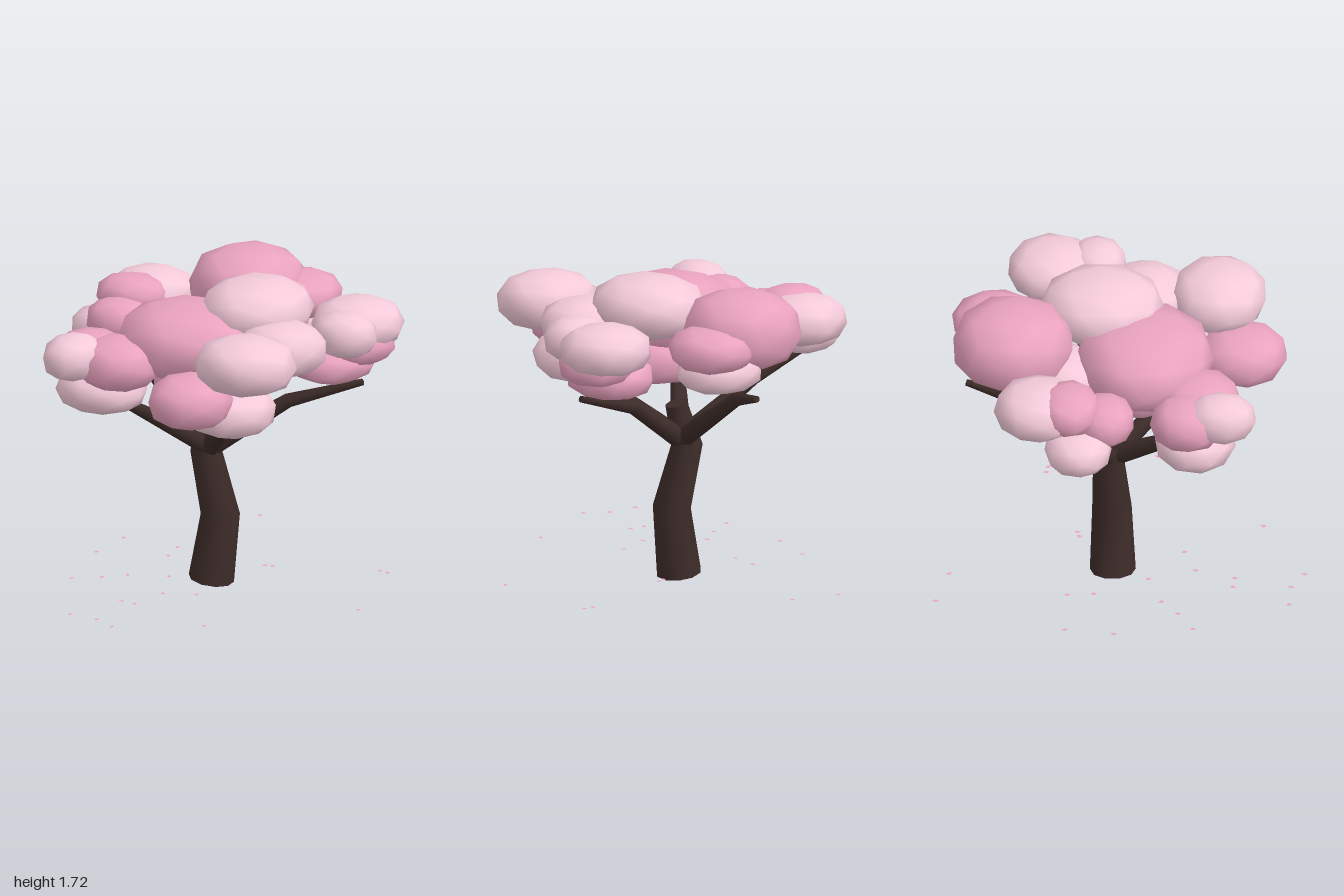
import * as THREE from 'three';
import { mergeVertices } from 'three/addons/utils/BufferGeometryUtils.js';

const bark = new THREE.MeshStandardMaterial({ color: 0x3d2c29 });
const pink = new THREE.MeshStandardMaterial({ color: 0xeaa3bf });
const pale = new THREE.MeshStandardMaterial({ color: 0xf5cbda });
const petalPink = new THREE.MeshStandardMaterial({ color: 0xeaa3bf, side: THREE.DoubleSide });

// Tapering limb: rings [x, y, z, radius] set square to the path, closed at both ends
function limb(name, stations, sides) {
  const pts = stations.map(([x, y, z]) => new THREE.Vector3(x, y, z));
  const pos = [], index = [];
  const last = pts.length - 1;
  const ring = (i) => {
    const dir = pts[Math.min(i + 1, last)].clone().sub(pts[Math.max(i - 1, 0)]).normalize();
    const q = new THREE.Quaternion().setFromUnitVectors(new THREE.Vector3(0, 1, 0), dir);
    for (let s = 0; s < sides; s++) {
      const a = (s / sides) * Math.PI * 2;
      const v = new THREE.Vector3(Math.sin(a), 0, Math.cos(a)).multiplyScalar(stations[i][3]);
      pos.push(...v.applyQuaternion(q).add(pts[i]).toArray());
    }
  };
  pts.forEach((_, i) => ring(i));
  for (let i = 0; i < last; i++) {
    for (let s = 0; s < sides; s++) {
      const a = i * sides + s, b = i * sides + (s + 1) % sides;
      index.push(a, b, b + sides, a, b + sides, a + sides);
    }
  }
  // End caps on their own vertices, so their edges stay sharp
  for (const [i, top] of [[0, false], [last, true]]) {
    const start = pos.length / 3;
    ring(i);
    for (let s = 1; s < sides - 1; s++) {
      if (top) index.push(start, start + s, start + s + 1);
      else index.push(start, start + s + 1, start + s);
    }
  }
  const geo = new THREE.BufferGeometry();
  geo.setAttribute('position', new THREE.Float32BufferAttribute(pos, 3));
  geo.setIndex(index);
  geo.computeVertexNormals();
  const mesh = new THREE.Mesh(geo, bark);
  mesh.name = name;
  return mesh;
}

// Flattened blossom clumps: x, y, z, then the three radii
const pinkClumps = [
  [-0.09, 1.42, 0.13, 0.41, 0.20, 0.37], // middle
  [0.02, 1.23, 0.08, 0.33, 0.15, 0.33],
  [-0.08, 1.50, -0.57, 0.32, 0.21, 0.33], // back
  [0.18, 1.46, -0.66, 0.23, 0.12, 0.24],
  [0.56, 1.28, -0.26, 0.23, 0.11, 0.26], // left side
  [0.68, 1.38, -0.31, 0.21, 0.11, 0.21],
  [-0.62, 1.46, -0.27, 0.20, 0.11, 0.17], // right side
  [-0.61, 1.38, -0.08, 0.18, 0.12, 0.16],
  [-0.57, 1.34, 0.36, 0.20, 0.13, 0.20], // front right
  [-0.38, 1.34, 0.42, 0.23, 0.14, 0.23],
  [0.15, 1.28, 0.65, 0.23, 0.14, 0.24], // front
];
const paleClumps = [
  [0.19, 1.56, -0.10, 0.30, 0.16, 0.33], // crown
  [0.44, 1.45, 0.13, 0.25, 0.14, 0.24],
  [0.41, 1.48, 0.52, 0.28, 0.15, 0.26], // front
  [0.28, 1.17, 0.42, 0.24, 0.13, 0.25],
  [0.66, 1.47, -0.36, 0.25, 0.13, 0.25], // left side
  [0.69, 1.48, -0.13, 0.18, 0.12, 0.16],
  [0.13, 1.33, -0.66, 0.24, 0.11, 0.22], // back
  [-0.15, 1.34, -0.30, 0.23, 0.13, 0.22],
  [-0.58, 1.43, -0.43, 0.24, 0.13, 0.24], // right side
  [-0.74, 1.28, -0.22, 0.20, 0.11, 0.18],
  [-0.59, 1.38, 0.54, 0.16, 0.12, 0.19], // front right
  [-0.49, 1.17, 0.40, 0.25, 0.12, 0.22],
];

// Low-poly ball with fuller shoulders than a true ellipsoid
function clumpGeometry(turn, rx, ry, rz) {
  const ball = new THREE.IcosahedronGeometry(1, 1);
  ball.deleteAttribute('normal').deleteAttribute('uv');
  const geo = mergeVertices(ball, 1e-3);
  geo.rotateX(0.3 * Math.sin(turn * 2.3)).rotateY(turn * 1.7);
  const p = geo.attributes.position;
  for (let i = 0; i < p.count; i++) {
    const y = p.getY(i);
    p.setY(i, Math.sign(y) * Math.abs(y) ** 0.75);
  }
  geo.scale(rx, ry, rz);
  geo.computeVertexNormals();
  return geo;
}

function clumps(name, list, material) {
  const group = new THREE.Group();
  group.name = name;
  list.forEach(([x, y, z, ...radii], i) => {
    const mesh = new THREE.Mesh(clumpGeometry(i, ...radii), material);
    mesh.name = 'blossomClump';
    mesh.position.set(x, y, z);
    group.add(mesh);
  });
  return group;
}

// Fallen petals, as [x, z] on the ground
const petalSpots = [
  [-0.42, -0.98], [-0.17, -0.91], [0.92, 0.19], [-0.2, 0.61], [-0.44, 0.9], [-0.28, 0.91],
  [-0.16, 0.98], [-0.68, -0.29], [-0.72, -0.03], [-0.36, -0.28], [-0.35, -0.14], [-0.67, 0.39],
  [-0.53, 0.31], [-0.42, 0.22], [0.18, -0.22], [0.22, -0.23], [-0.21, 0.15], [-0.28, 0.6],
  [-0.13, 0.4], [0.04, 0.34], [0.28, 0.76], [0.77, -0.4], [0.82, -0.39],
];

function fallenPetals() {
  const group = new THREE.Group();
  group.name = 'fallenPetals';
  const outline = [[0, 0.019], [0.012, 0], [0, -0.019], [-0.012, 0]];
  const shape = new THREE.Shape(outline.map(([x, y]) => new THREE.Vector2(x, y)));
  const geo = new THREE.ShapeGeometry(shape).rotateX(-Math.PI / 2);
  petalSpots.forEach(([x, z], i) => {
    const petal = new THREE.Mesh(geo, petalPink);
    petal.name = 'petal';
    petal.position.set(x, 0.065, z);
    petal.rotation.y = 0.5 * Math.sin(i * 2.1);
    group.add(petal);
  });
  return group;
}

export function createModel() {
  const tree = new THREE.Group();
  tree.name = 'blossomTree';

  tree.add(limb('trunk', [
    [-0.05, 0.018, -0.04, 0.122], [0, 0.39, -0.045, 0.105],
    [-0.09, 0.73, -0.06, 0.085], [-0.035, 0.96, -0.035, 0.06],
  ], 10));

  // Branches fan out from the fork: elbow, then tip
  const branches = [
    [[-0.03, 1.13, -0.60], [0, 1.19, -0.82]],
    [[-0.44, 1.06, -0.17], [-0.74, 1.20, -0.24]],
    [[0.34, 1.04, -0.17], [0.74, 1.18, -0.25]],
    [[-0.27, 1.02, 0.28], [-0.42, 1.16, 0.45]],
    [[0.17, 1.00, 0.28], [0.32, 1.14, 0.46]],
  ];
  for (const [elbow, tip] of branches) {
    tree.add(limb('branch', [
      [-0.06, 0.76, -0.05, 0.058], [...elbow, 0.038], [...tip, 0.018],
    ], 8));
  }

  tree.add(clumps('pinkBlossom', pinkClumps, pink));
  tree.add(clumps('paleBlossom', paleClumps, pale));
  tree.add(fallenPetals());
  return tree;
}
